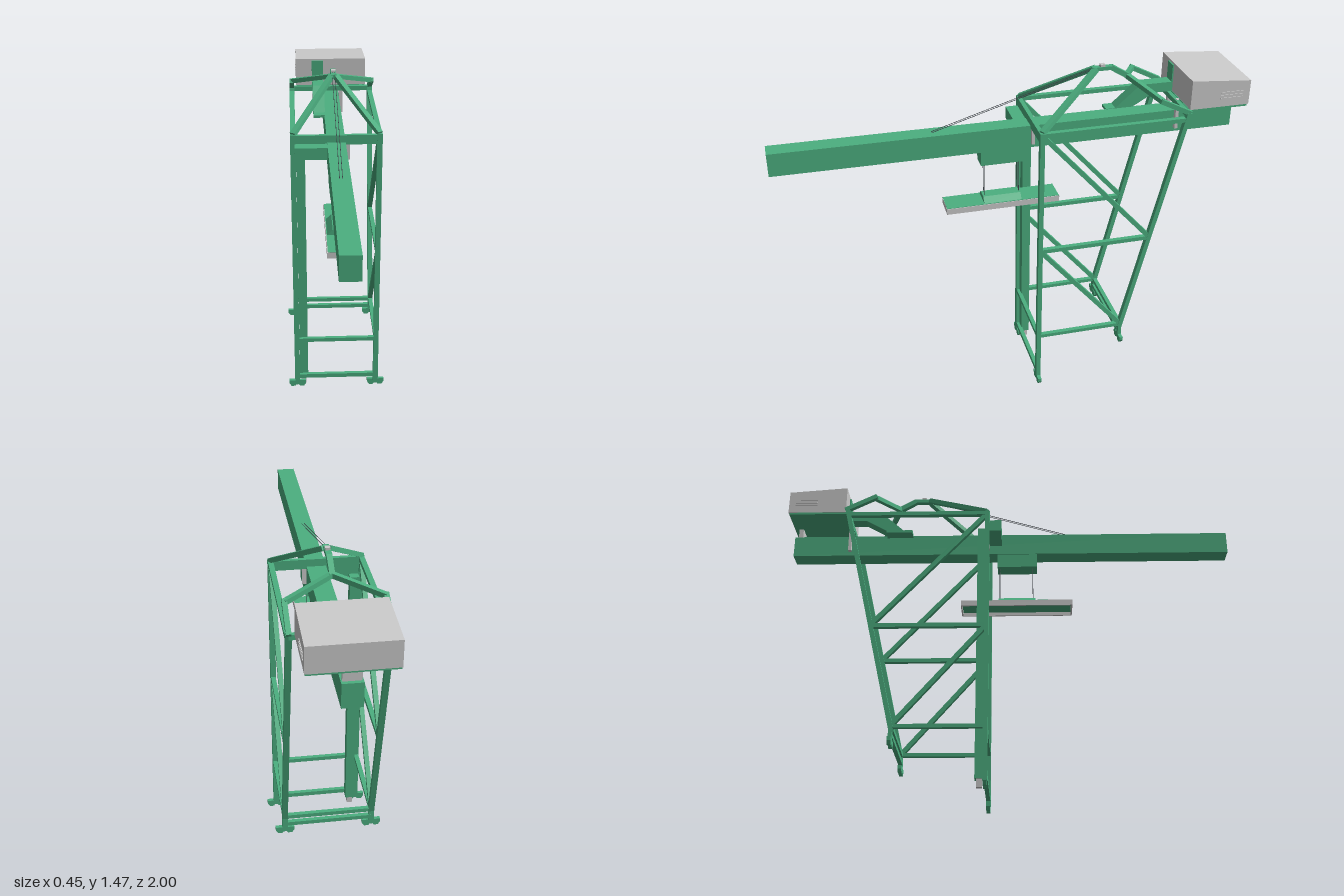
import * as THREE from 'three';

const green = new THREE.MeshStandardMaterial({ color: 0x4caf80, flatShading: true });
const grey = new THREE.MeshStandardMaterial({ color: 0xcccccc, flatShading: true });
const dark = new THREE.MeshStandardMaterial({ color: 0x444a50 });
const V = (p) => new THREE.Vector3(...p);

export function createModel() {
  const root = new THREE.Group();
  root.name = 'gantryCrane';

  const add = (name, geo, mat, parent = root) => {
    const m = new THREE.Mesh(geo, mat);
    m.name = name;
    parent.add(m);
    return m;
  };
  // Box given by its min and max limits on each axis
  const box = (name, [x0, x1], [y0, y1], [z0, z1], mat = green) => {
    const m = add(name, new THREE.BoxGeometry(x1 - x0, y1 - y0, z1 - z0), mat);
    m.position.set((x0 + x1) / 2, (y0 + y1) / 2, (z0 + z1) / 2);
    return m;
  };
  // Square beam between two points
  const beam = (name, a, b, w = 0.022, h = w, mat = green) => {
    const A = V(a), B = V(b);
    const m = add(name, new THREE.BoxGeometry(w, h, A.distanceTo(B)), mat);
    m.position.copy(A).lerp(B, 0.5);
    if (Math.abs(B.y - A.y) > 0.99 * A.distanceTo(B)) m.up.set(0, 0, 1);
    m.lookAt(B);
    return m;
  };
  const cable = (name, a, b) =>
    add(name, new THREE.TubeGeometry(new THREE.LineCurve3(V(a), V(b)), 1, 0.0013, 5), dark);
  // Outline in (z, y) extruded across x
  const sideProfile = (name, pts, x0, x1, mat) => {
    const s = new THREE.Shape(pts.map(([z, y]) => new THREE.Vector2(-z, y)));
    const m = add(name, new THREE.ExtrudeGeometry(s, { depth: x1 - x0, bevelEnabled: false }), mat);
    m.rotation.y = Math.PI / 2;
    m.position.x = x0;
    return m;
  };

  const X = 0.1875, ZF = -0.092, ZR = -0.48, ZT = -0.725;

  // Main boom and trolley beneath it
  box('boom', [-0.04, 0.04], [1.145, 1.245], [-0.99, 1]);
  box('trolley', [-0.036, 0.036], [1.08, 1.146], [-0.05, 0.13]);

  // Wheel foot: rounded bar with a notch under its middle
  const footShape = new THREE.Shape([
    [-0.04, 0.031], [-0.04, 0.015], [-0.03, 0], [-0.012, 0], [-0.006, 0.008],
    [0.006, 0.008], [0.012, 0], [0.03, 0], [0.04, 0.015], [0.04, 0.031],
  ].map((p) => new THREE.Vector2(...p)));
  const footGeo = new THREE.ExtrudeGeometry(footShape, { depth: 0.016, bevelEnabled: false });
  footGeo.translate(0, 0, -0.008);

  // Side frames, mirrored
  for (const s of [1, -1]) {
    const x = s * X, side = s > 0 ? 'left' : 'right';
    beam(side + 'FrontLeg', [x, 0.025, ZF], [x, 1.28, ZF], 0.024, 0.02);
    beam(side + 'RearLeg', [x, 0.25, ZR], [x, 1.3, ZT], 0.024, 0.02);
    beam(side + 'RearLegStub', [x, 0.19, ZR], [x, 0.265, ZR], 0.024, 0.016);
    beam(side + 'TopRail', [x, 1.27, ZF], [x, 1.27, ZT], 0.022, 0.018);
    beam(side + 'MiddleRail', [x, 0.713, ZF], [x, 0.713, -0.59], 0.02, 0.018);
    beam(side + 'LowerRail', [x, 0.256, ZF], [x, 0.256, ZR], 0.02, 0.016);
    beam(side + 'UpperDiagonal', [x, 1.26, -0.1], [x, 0.715, -0.59], 0.02);
    beam(side + 'LowerDiagonal', [x, 0.705, -0.1], [x, 0.26, ZR], 0.02);

    // Peak frame struts and forked back stay
    beam(side + 'PeakStrut', [x, 1.28, ZF], [0.008 * s, 1.455, -0.37], 0.024, 0.02);
    beam(side + 'StayFork', [0, 1.412, -0.51], [x, 1.362, -0.605], 0.02);
    beam(side + 'StayRail', [x, 1.366, -0.595], [x, 1.295, ZT - 0.01], 0.02);

    // Boom hangers, front and rear
    for (const z of [ZF, ZT - 0.005])
      box(side + 'BoomHanger', [s * 0.049 - 0.009, s * 0.049 + 0.009],
        [1.165, z === ZF ? 1.24 : 1.3], [z - 0.007, z + 0.007], grey);

    for (const [y, z] of [[0, ZF], [0.17, ZR]])
      add(side + 'Foot', footGeo, green).position.set(x, y, z);
  }

  // Cross beams
  const cross = (name, y, z, h, mat) =>
    beam(name, [-X, y, z], [X, y, z], 0.018, h, mat);
  cross('frontTopBeam', 1.256, ZF, 0.042);
  cross('frontMiddleBeam', 0.256, ZF, 0.018);
  cross('frontBottomBeam', 0.055, ZF, 0.02);
  cross('rearUpperBeam', 0.256, ZR, 0.018);
  cross('rearLowerBeam', 0.218, ZR, 0.018);
  cross('rearTopBeam', 1.288, ZT, 0.022);

  // Peak ridge and centre of the back stay
  beam('peakRidge', [0, 1.455, -0.355], [0, 1.455, -0.445], 0.024, 0.016);
  beam('centreStay', [0, 1.455, -0.44], [0, 1.41, -0.515], 0.022);
  box('peakSheave', [-0.01, 0.01], [1.455, 1.473], [-0.41, -0.39], grey);

  // Lift shaft with its landing
  box('liftShaft', [-0.175, -0.136], [0.04, 1.2], [-0.135, -0.097]);
  box('liftLanding', [-0.18, -0.04], [1.187, 1.24], [-0.1, -0.03]);
  box('liftBase', [-0.17, -0.145], [0.005, 0.04], [-0.128, -0.104], grey);

  // Machinery house with sloped roof on a floor plate
  sideProfile('machineryHouse', [[-0.738, 1.3], [-1, 1.3], [-1, 1.407], [-0.738, 1.428]],
    -0.167, 0.167, grey);
  box('houseFloor', [-0.165, 0.165], [1.291, 1.301], [-0.995, -0.735]);
  box('houseSupport', [-0.035, 0.035], [1.24, 1.295], [-0.975, -0.955], grey);
  for (const s of [1, -1])
    for (let i = 0; i < 3; i++)
      box('louvre', [s * 0.168 - 0.002, s * 0.168 + 0.002],
        [1.335 + i * 0.013, 1.34 + i * 0.013], [-0.97, -0.87], grey);

  // Cable duct from the boom up to the house
  sideProfile('cableDuct', [[-0.48, 1.245], [-0.59, 1.343], [-0.74, 1.343],
    [-0.74, 1.3], [-0.655, 1.3], [-0.56, 1.245]], -0.09, -0.036, green);
  box('ductRiser', [-0.09, -0.036], [1.3, 1.42], [-0.742, -0.732]);
  box('ductFoot', [-0.09, -0.036], [1.235, 1.247], [-0.56, -0.44]);

  // Spreader: open channel with grey skirts and a tapered head block
  box('spreaderDeck', [-0.052, 0.052], [0.89, 0.902], [-0.212, 0.284]);
  for (const s of [1, -1]) {
    box('spreaderSkirt', [s * 0.052 - 0.003, s * 0.052 + 0.003], [0.874, 0.9], [-0.213, 0.285], grey);
    const z = 0.036 + s * 0.246;
    box('spreaderEnd', [-0.052, 0.052], [0.874, 0.9], [z - 0.003, z + 0.003], grey);
  }
  const head = new THREE.Shape([[-0.05, 0], [0.05, 0], [0.025, 0.024], [-0.025, 0.024]]
    .map((p) => new THREE.Vector2(...p)));
  add('headBlock', new THREE.ExtrudeGeometry(head, { depth: 0.165, bevelEnabled: false }), green)
    .position.set(0, 0.901, -0.045);

  // Hoist ropes and boom stays
  for (const s of [1, -1]) {
    for (const z of [-0.04, 0.11]) cable('hoistRope', [s * 0.012, 0.92, z], [s * 0.017, 1.09, z]);
    cable('boomStay', [s * 0.006, 1.467, -0.4], [s * 0.006, 1.245, 0.33]);
  }
  return root;
}
